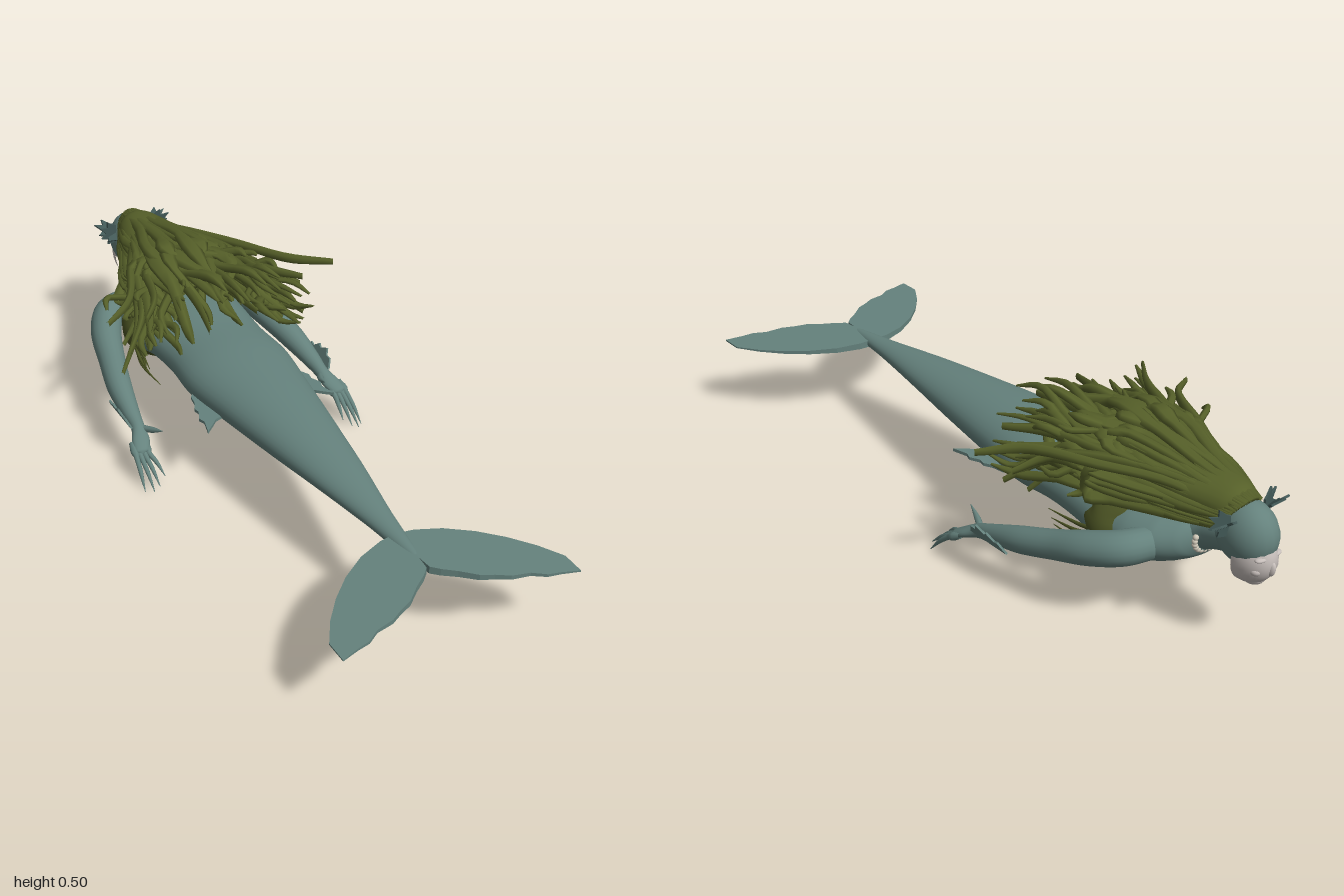
import * as THREE from 'three';
import { mergeVertices } from 'three/addons/utils/BufferGeometryUtils.js';

const mat = (name, color, side = THREE.FrontSide) => {
  const m = new THREE.MeshStandardMaterial({ color, side });
  m.name = name;
  return m;
};
const V = (x, y, z) => new THREE.Vector3(x, y, z);

// Smooth swept form: each row is [x, y, z, radiusX, radiusY]
function sweep(rows, segs, sides) {
  const path = new THREE.CatmullRomCurve3(rows.map(r => V(r[0], r[1], r[2])));
  const size = new THREE.CatmullRomCurve3(rows.map(r => V(r[3], r[4] ?? r[3], 0)));
  path.getPointAt = t => path.getPoint(t);
  path.getTangentAt = t => path.getTangent(t);
  const geo = new THREE.TubeGeometry(path, segs, 1, sides);
  const pos = geo.attributes.position;
  for (let i = 0; i < pos.count; i++) {
    const t = Math.floor(i / (sides + 1)) / segs;
    const c = path.getPoint(t), r = size.getPoint(t);
    const rx = Math.max(r.x, 0.0008), ry = Math.max(r.y, 0.0008);
    pos.setXYZ(i,
      c.x + (pos.getX(i) - c.x) * rx,
      c.y + (pos.getY(i) - c.y) * ry,
      c.z + (pos.getZ(i) - c.z) * Math.min(rx, ry));
  }
  geo.deleteAttribute('uv');
  geo.deleteAttribute('normal');
  const out = mergeVertices(geo, 1e-5);
  out.computeVertexNormals();
  return out;
}

// Thin plate from a list of 2D points, mirrored by s
function plate(points, depth, s) {
  const shape = new THREE.Shape(points.map(p => new THREE.Vector2(p[0] * s, p[1])));
  return new THREE.ExtrudeGeometry(shape, { depth, bevelEnabled: false });
}

export function createModel() {
  const group = new THREE.Group();
  const skin = mat('teal skin', 0x65827d, THREE.DoubleSide);
  const hairMat = mat('olive hair', 0x566029);
  const bandMat = mat('dark olive weed', 0x4c5424, THREE.DoubleSide);
  const faceMat = mat('pale face', 0xc6beba);
  const finMat = mat('dark teal fin', 0x425856);
  const pearl = mat('pearl', 0xcdc6b6);
  const add = (name, geo, material, x = 0, y = 0, z = 0) => {
    const m = new THREE.Mesh(geo, material);
    m.name = name;
    m.position.set(x, y, z);
    group.add(m);
    return m;
  };
  const ball = (name, material, p, r) => {
    const m = add(name, new THREE.SphereGeometry(1, 20, 14), material, ...p);
    m.scale.set(...r);
    return m;
  };
  let seed = 11;
  const rnd = () => (seed = (seed * 16807) % 2147483647) / 2147483647;
  const jit = a => (rnd() - 0.5) * 2 * a;

  // Torso running into the tail
  add('body', sweep([
    [0, 0.265, -0.79, 0.03, 0.03], [0, 0.26, -0.76, 0.1, 0.06], [0, 0.248, -0.71, 0.15, 0.078],
    [0, 0.233, -0.63, 0.176, 0.097], [0, 0.225, -0.56, 0.178, 0.104], [0, 0.237, -0.45, 0.166, 0.09],
    [0, 0.24, -0.32, 0.157, 0.085], [0, 0.24, -0.2, 0.163, 0.088], [0, 0.243, 0, 0.137, 0.078],
    [0, 0.245, 0.2, 0.106, 0.063], [0, 0.247, 0.4, 0.074, 0.043], [0, 0.243, 0.6, 0.038, 0.026],
    [0, 0.238, 0.78, 0.012, 0.012], [0, 0.238, 0.8, 0.001, 0.001]], 90, 36), skin);
  add('neck', sweep([[0, 0.265, -0.72, 0.075], [0, 0.285, -0.79, 0.056], [0, 0.31, -0.88, 0.05]], 14, 20), skin);

  // Weed band around the chest, hugging the body at its ragged edges
  const band = new THREE.CylinderGeometry(1, 1, 1, 60, 10, true);
  band.rotateX(Math.PI / 2);
  const bp = band.attributes.position;
  for (let i = 0; i < bp.count; i++) {
    const a = Math.atan2(bp.getY(i), bp.getX(i)), v = bp.getZ(i), e = (2 * v) ** 2;
    const low = Math.max(0, -Math.sin(a));
    const z = -0.552 - 0.008 * low + v * (0.1 + 0.045 * low) + v * 0.016 * Math.sin(a * 11);
    bp.setXYZ(i, Math.cos(a) * (0.193 - 0.02 * e), 0.222 + 0.012 * e + Math.sin(a) * (0.115 - 0.018 * e), z);
  }
  band.computeVertexNormals();
  add('chestBand', band, bandMat);

  // Tail fluke, tapering in thickness outwards
  for (const s of [1, -1]) {
    const lobe = plate([[0, 0.68], [0.05, 0.685], [0.12, 0.71], [0.19, 0.755], [0.25, 0.81], [0.3, 0.87],
      [0.34, 0.935], [0.34, 1], [0.29, 0.985], [0.255, 0.978], [0.22, 0.955], [0.17, 0.945], [0.135, 0.925],
      [0.1, 0.91], [0.06, 0.875], [0.025, 0.85], [0.004, 0.83], [0, 0.79]], 1, s);
    lobe.rotateX(Math.PI / 2);
    const p = lobe.attributes.position;
    for (let i = 0; i < p.count; i++) {
      const out = Math.abs(p.getX(i)) / 0.34;
      p.setY(i, 0.24 - 0.012 * out + (p.getY(i) + 0.5) * (0.022 - 0.018 * out));
    }
    lobe.computeVertexNormals();
    add('tailFluke', lobe, skin);
  }

  for (const s of [1, -1]) {
    // Arm and hand
    add('arm', sweep([
      [s * 0.125, 0.24, -0.69, 0.045], [s * 0.192, 0.236, -0.662, 0.047], [s * 0.236, 0.218, -0.59, 0.046],
      [s * 0.264, 0.19, -0.49, 0.04], [s * 0.288, 0.162, -0.385, 0.037], [s * 0.3, 0.134, -0.28, 0.026],
      [s * 0.304, 0.118, -0.225, 0.02], [s * 0.314, 0.1, -0.185, 0.027, 0.015],
      [s * 0.325, 0.086, -0.155, 0.022, 0.011], [s * 0.328, 0.082, -0.147, 0.002]], 48, 18), skin);
    [[0.355, 0.006, -0.075], [0.335, 0.012, -0.055], [0.315, 0.02, -0.06], [0.292, 0.04, -0.075]].forEach((t, i) => {
      const bx = 0.345 - i * 0.013;
      add('finger', sweep([[s * (bx - 0.004), 0.098, -0.19, 0.008], [s * bx, 0.078, -0.15, 0.008],
        [s * (bx + t[0]) / 2, t[1] / 2 + 0.045, (t[2] - 0.15) / 2, 0.0065], [s * t[0], t[1], t[2], 0.001]], 12, 8), skin);
    });
    add('thumb', sweep([[s * 0.297, 0.116, -0.225, 0.01], [s * 0.277, 0.126, -0.185, 0.009],
      [s * 0.265, 0.145, -0.14, 0.001]], 10, 8), skin);

    // Forearm fin, hip fin and ear fins
    const armFin = plate([[0, -0.37], [0.03, -0.345], [0.025, -0.33], [0.045, -0.305], [0.034, -0.295],
      [0.05, -0.265], [0.03, -0.255], [0.03, -0.235], [0, -0.22]], 0.006, s).rotateX(Math.PI / 2);
    add('forearmFin', armFin, skin, s * 0.322, 0.126, 0).rotation.z = s * 1.15;
    const hipFin = plate([[0.14, -0.18], [0.166, -0.155], [0.172, -0.12], [0.185, -0.095], [0.181, -0.075],
      [0.195, -0.045], [0.188, -0.025], [0.2, 0.022], [0.172, -0.003], [0.155, -0.02], [0.12, -0.03]],
      0.009, s).rotateX(Math.PI / 2);
    add('hipFin', hipFin, skin, 0, 0.224, 0);
    const earPoints = [[0, -0.028], [0.035, -0.026], [0.03, -0.01], [0.058, 0], [0.04, 0.012],
      [0.06, 0.036], [0.033, 0.03], [0.032, 0.05], [0.01, 0.032], [0, 0.028]];
    for (const [lift, yaw] of [[0, 0.3], [-0.9, 0.1]]) {
      const ear = add('earFin', plate(earPoints, 0.006, s), finMat, s * 0.06, 0.365, -0.9);
      ear.rotation.set(lift, -s * yaw, 0);
    }

    // Shell on the chest and weed tassels at the side
    ball('shell', pearl, [s * 0.085, 0.118, -0.59], [0.015, 0.009, 0.017]).rotation.z = s * 0.4;
    for (let i = 0; i < 4; i++) {
      const y = 0.158 + i * 0.018;
      add('tassel', sweep([[s * (0.164 + i * 0.005), y + 0.012, -0.53, 0.006],
        [s * (0.178 + jit(0.008)), y - 0.004, -0.47, 0.005],
        [s * (0.18 + jit(0.018)), y - 0.012 + jit(0.012), -0.38 + jit(0.03), 0.001]], 10, 6), bandMat);
    }
  }

  // Head, face and features
  ball('head', skin, [0, 0.327, -0.9], [0.07, 0.088, 0.09]);
  const mask = new THREE.SphereGeometry(1, 28, 18, 0, Math.PI * 2, 0, Math.PI * 0.5);
  mask.rotateX(-Math.PI / 2);
  const face = add('face', mask, faceMat, 0, 0.275, -0.908);
  face.scale.set(0.06, 0.08, 0.086);
  face.rotation.x = -0.08;
  ball('jaw', faceMat, [0, 0.22, -0.932], [0.03, 0.026, 0.034]);
  ball('nose', faceMat, [0, 0.26, -0.986], [0.01, 0.023, 0.014]).rotation.x = -0.25;
  ball('lips', faceMat, [0, 0.23, -0.968], [0.017, 0.006, 0.01]);
  for (const s of [1, -1]) {
    ball('brow', faceMat, [s * 0.022, 0.292, -0.974], [0.022, 0.007, 0.013]);
    ball('cheek', faceMat, [s * 0.028, 0.256, -0.962], [0.017, 0.014, 0.018]);
  }

  // Pearl necklace hanging under the neck
  for (let i = 0; i < 15; i++) {
    const a = Math.PI * (0.98 + 1.04 * i / 14);
    ball('necklacePearl', pearl, [Math.cos(a) * 0.064, 0.276 + Math.sin(a) * 0.06, -0.79 - Math.sin(a) * 0.015],
      [0.008, 0.008, 0.008]);
  }

  // Hair: a core mass with loose wavy, flattened strands streaming back
  add('hairCore', sweep([[0, 0.385, -0.925, 0.008], [0, 0.39, -0.86, 0.066, 0.053], [0, 0.402, -0.7, 0.11, 0.046],
    [0, 0.415, -0.52, 0.13, 0.03], [0, 0.415, -0.4, 0.11, 0.006]], 30, 20), hairMat);
  const strand = rows => add('hairStrand', sweep(rows, 18, 6), hairMat);
  for (let i = 0; i < 90; i++) {
    const a = Math.PI * (-0.08 + 1.16 * (i + rnd()) / 90);
    const c = Math.cos(a), s = Math.sin(a), layer = 0.65 + 0.4 * rnd();
    const end = -0.5 + 0.35 * rnd(), w = 0.01 + 0.008 * rnd();
    const h = w * (0.5 + 0.6 * rnd());
    const midZ = -0.58 + jit(0.04), wave = jit(0.035);
    const x = (0.2 - 0.02 * s) * c + jit(0.09), y = 0.355 + 0.085 * s + jit(0.06);
    strand([
      [0.058 * c, 0.352 + 0.07 * s, -0.865 - 0.05 * s, 0.006],
      [0.1 * c + jit(0.012), 0.36 + 0.092 * s * layer, -0.75, w, h],
      [0.148 * c + jit(0.03), 0.365 + 0.115 * s * layer + jit(0.012), midZ, w * 1.2, h],
      [0.172 * c + wave, 0.37 + 0.11 * s * layer + jit(0.02), midZ * 0.55 + end * 0.45, w * 1.2, h],
      [x * 0.9 - wave * 0.5, y + jit(0.02), midZ * 0.2 + end * 0.8, w * 0.9, h],
      [x, y, end, 0.004, 0.003]]);
  }

  // Wild outer locks, given by their end points
  const ends = [[0.39, 0.43, -0.32], [0.3, 0.36, -0.36], [0.28, 0.3, -0.3], [0.23, 0.27, -0.34], [0.26, 0.44, -0.27],
    [-0.33, 0.41, -0.34], [-0.31, 0.26, -0.3], [-0.3, 0.34, -0.27], [-0.25, 0.45, -0.25], [-0.27, 0.3, -0.38],
    [-0.1, 0.42, -0.15], [0.06, 0.43, -0.17]];
  for (const [x, y, z] of ends) {
    strand([[Math.sign(x) * 0.05, 0.39, -0.86, 0.006], [x * 0.25, 0.42, -0.72, 0.013],
      [x * 0.48, 0.43, -0.56, 0.014], [x * 0.72, (y + 0.44) / 2, z * 0.6 - 0.2, 0.01, 0.016],
      [x, y, z, 0.005, 0.01]]);
  }

  group.position.x = -0.02;
  const model = new THREE.Group();
  model.name = 'swimmingFigure';
  model.add(group);
  return model;
}
